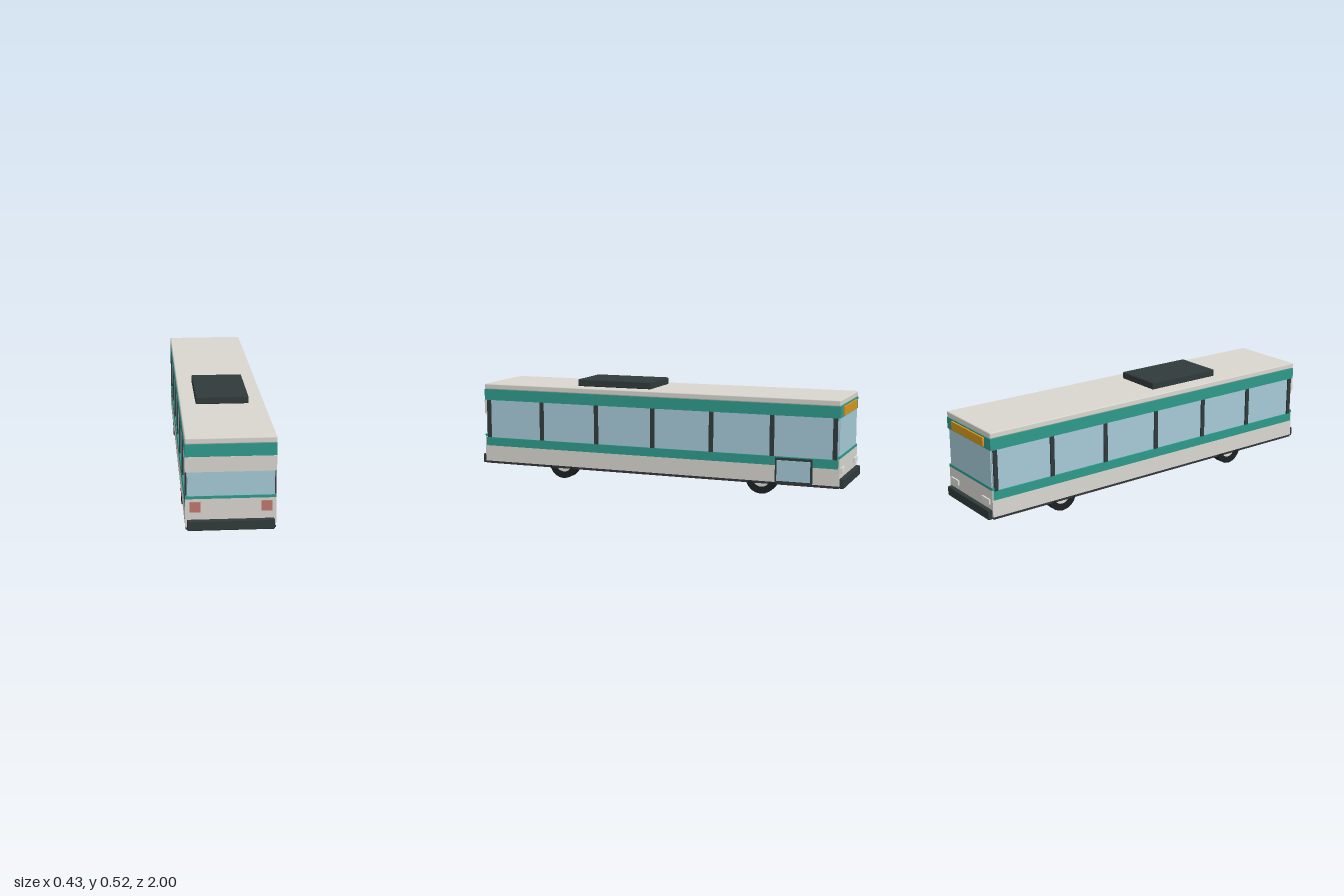
import * as THREE from 'three';
import { RoundedBoxGeometry } from 'three/addons/geometries/RoundedBoxGeometry.js';

const mat = (name, color) => {
  const m = new THREE.MeshStandardMaterial({ color });
  m.name = name;
  return m;
};

export function createModel() {
  const paint = mat('warm grey paint', 0xd9d6cf);
  const teal = mat('teal paint', 0x2f9a8c);
  const glass = mat('pale blue glass', 0xa5cad7);
  const trim = mat('dark trim', 0x303a3a);
  const rubber = mat('tyre rubber', 0x1c2121);
  const under = mat('chassis grey', 0x35363a);
  const red = mat('tail light red', 0xbd786c);
  const amber = mat('sign amber', 0xd8981c);
  const silver = mat('light silver', 0xdcdcd8);

  const model = new THREE.Group();
  model.name = 'cityBus';
  const bus = new THREE.Group();
  bus.name = 'body';
  bus.position.x = -0.006;
  model.add(bus);

  const add = (name, geometry, material, x = 0, y = 0, z = 0) => {
    const mesh = new THREE.Mesh(geometry, material);
    mesh.name = name;
    mesh.position.set(x, y, z);
    bus.add(mesh);
    return mesh;
  };
  // Box given by its limits on each axis; a bevel chamfers the edges
  const box = (name, material, [x0, x1], [y0, y1], [z0, z1], bevel = 0) => {
    const s = [x1 - x0, y1 - y0, z1 - z0];
    const g = bevel ? new RoundedBoxGeometry(...s, 1, bevel) : new THREE.BoxGeometry(...s);
    return add(name, g, material, (x0 + x1) / 2, (y0 + y1) / 2, (z0 + z1) / 2);
  };

  const W = 0.207, L = 0.972;
  const wide = [-W, W], long = [-L, L];

  // Stacked shell
  box('chassis', under, [-0.206, 0.206], [0.053, 0.065], [-0.975, 0.975]);
  box('lowerBody', paint, wide, [0.065, 0.15], long);
  box('lowerBand', teal, wide, [0.15, 0.195], long);
  box('windowGlass', glass, [-0.2, 0.2], [0.195, 0.4], [-0.97, 0.97]);
  box('upperBand', teal, wide, [0.4, 0.458], [-0.978, 0.978]);
  box('roof', paint, wide, [0.458, 0.488], [-0.978, 0.978], 0.006);
  box('roofUnit', trim, [-0.13, 0.129], [0.488, 0.525], [0.038, 0.455], 0.005);

  // Window pillars on both sides
  for (const s of [-1, 1])
    for (let i = -3; i <= 3; i++)
      add('windowPillar', new THREE.BoxGeometry(0.012, 0.205, 0.022), trim,
        s * 0.201, 0.2975, i === 0 ? 0.002 : i * 0.318);

  // End panels and bumpers
  for (const s of [-1, 1]) {
    const zone = (a, b) => (s > 0 ? [a, b] : [-b, -a]);
    box('endPanel', paint, wide, [0.065, 0.2], zone(L, 0.978));
    box('endStripe', teal, wide, [0.2, 0.213], zone(0.965, 0.978));
    box('endWindow', glass, [-0.196, 0.196], [0.213, 0.4], zone(0.968, 0.975));
    box('bumper', trim, [-0.199, 0.199], [0.053, 0.101], zone(0.972, 1), 0.005);
  }
  box('windowHeader', paint, wide, [0.328, 0.4], [0.965, 0.979]);
  box('destinationSign', amber, [-0.15, 0.15], [0.408, 0.452], [-0.987, -0.978]);

  // Lamps
  for (const s of [-1, 1]) {
    const around = (c, h) => [s * c - h, s * c + h];
    box('redLamp', red, around(0.163, 0.0245), [0.139, 0.187], [0.978, 0.986]);
    box('headlamp', silver, around(0.15, 0.036), [0.126, 0.152], [-0.986, -0.978]);
  }

  // Side door: dark frame and glass
  box('doorSill', trim, [0.204, 0.211], [0.064, 0.076], [-0.845, -0.655]);
  box('doorHeader', trim, [0.204, 0.211], [0.178, 0.19], [-0.845, -0.655]);
  for (const z of [-0.845, -0.667])
    box('doorPost', trim, [0.204, 0.211], [0.076, 0.178], [z, z + 0.012]);
  box('doorGlass', glass, [0.214, 0.218], [0.074, 0.178], [-0.835, -0.665]);

  // Wheels: tyre ring around a pale hub
  const tyreProfile = [[0.046, -0.026], [0.08, -0.026], [0.08, 0.026], [0.046, 0.026], [0.046, -0.026]]
    .map(([r, y]) => new THREE.Vector2(r, y));
  const ring = new THREE.LatheGeometry(tyreProfile, 20).toNonIndexed();
  ring.computeVertexNormals();
  const hub = new THREE.CylinderGeometry(0.047, 0.047, 0.04, 20);
  for (const s of [-1, 1])
    for (const z of [0.51, -0.583]) {
      add('tyre', ring, rubber, s * 0.18, 0.08, z).rotation.z = Math.PI / 2;
      add('wheelHub', hub, silver, s * 0.18, 0.08, z).rotation.z = Math.PI / 2;
    }

  return model;
}
